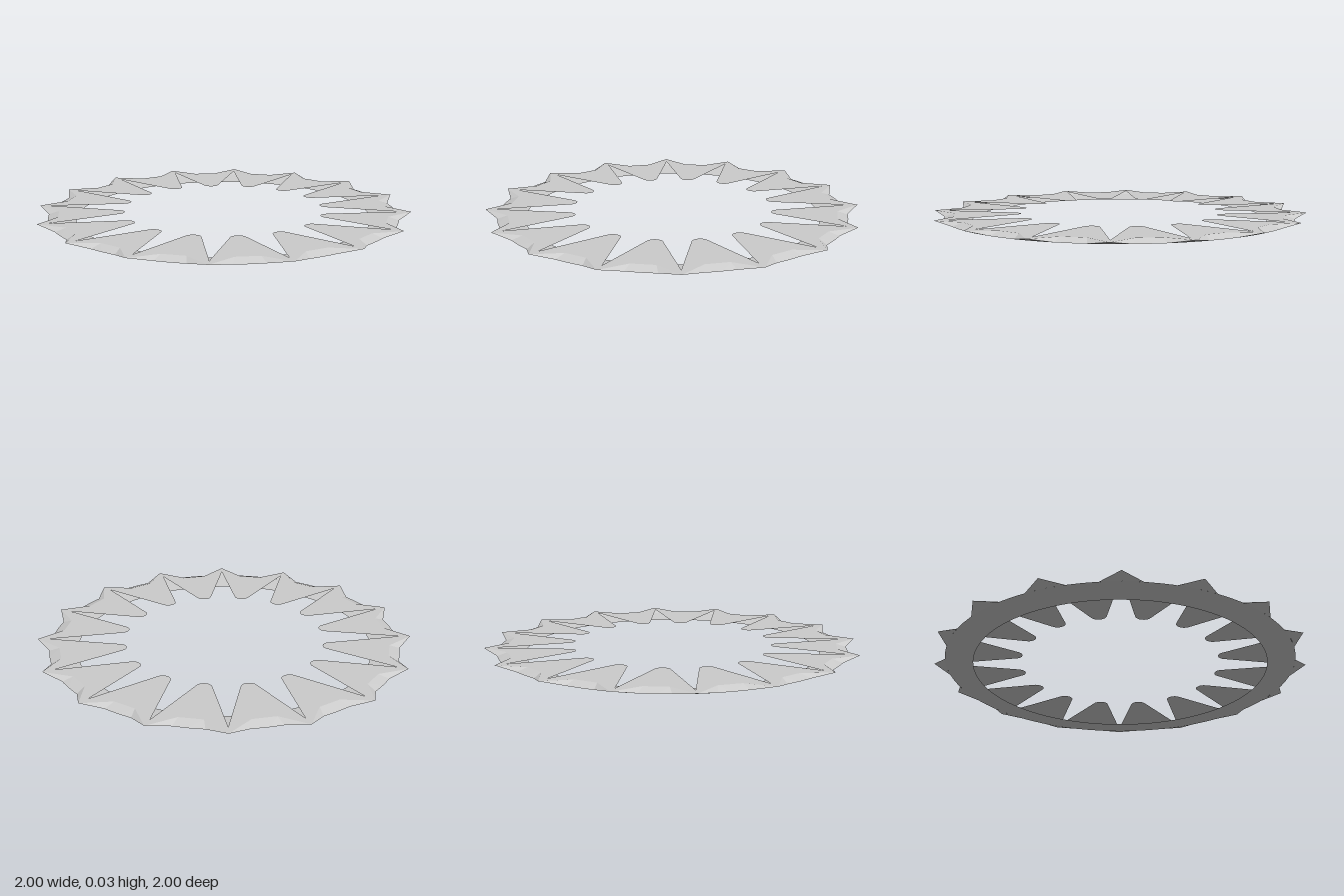
import * as THREE from 'three';

const TEETH = 16, STEP = (Math.PI * 2) / TEETH, DEG = Math.PI / 180;
const START = 15.1 * DEG;                 // angle of the first outer spike
const TOP = 0.034, RIM_Y = 0.014;         // heights of the plate and of the dish rim
const TIP_R = 1.008, NOTCH_R = 0.885, RIM_R = 0.94, INNER_R = 0.79, CUT_R = 0.948;
const NOTCH_A = 7.2 * DEG, FOOT_A = 6.4 * DEG;

const polar = (r, a) => new THREE.Vector2(r * Math.cos(a), r * Math.sin(a));
const at = (r, a, y) => [r * Math.cos(a), y, -r * Math.sin(a)];

// Flat star-shaped plate with spikes outside and rounded teeth inside
function plateGeometry() {
  const outer = [], inner = [];
  for (let i = 0; i < TEETH; i++) {
    const a = START + i * STEP, mid = a + STEP / 2;
    outer.push(polar(TIP_R, a), polar(NOTCH_R, a + NOTCH_A), polar(NOTCH_R, a + STEP - NOTCH_A));
    inner.push(polar(CUT_R, a));
    for (let k = 0; k <= 8; k++) {
      const t = (-75 + k * 18.75) * DEG;
      const p = new THREE.Vector2(0.572 - 0.04 * Math.cos(t), 0.042 * Math.sin(t));
      inner.push(p.rotateAround(new THREE.Vector2(), mid));
    }
  }
  const shape = new THREE.Shape(outer);
  shape.holes.push(new THREE.Path(inner));
  return new THREE.ShapeGeometry(shape).rotateX(-Math.PI / 2).translate(0, TOP, 0);
}

// Facets joining the plate's outer edge to the dish rim
function flankGeometry() {
  const pos = [];
  const tri = (a, b, c) => pos.push(...a, ...b, ...c);
  for (let i = 0; i < TEETH; i++) {
    const a = START + i * STEP;
    const tip = at(TIP_R, a, TOP);
    const rim = (d) => at(RIM_R, a + d, RIM_Y);
    const notch = (d) => at(NOTCH_R, a + d, TOP);
    // underside of the spike
    for (let k = -2; k < 2; k++) tri(rim((k * FOOT_A) / 2), tip, rim(((k + 1) * FOOT_A) / 2));
    // steep spike sides
    tri(rim(FOOT_A), tip, notch(NOTCH_A));
    tri(rim(-FOOT_A), notch(-NOTCH_A), tip);
    // sloped land between two spikes
    const n0 = notch(NOTCH_A), n1 = notch(STEP - NOTCH_A);
    const f0 = rim(FOOT_A), f1 = rim(STEP / 2), f2 = rim(STEP - FOOT_A);
    tri(n0, f1, f0);
    tri(n0, n1, f1);
    tri(n1, f2, f1);
  }
  // corners above run clockwise seen from outside, so swap each pair
  for (let i = 0; i < pos.length; i += 9) {
    const [x, y, z] = pos.slice(i, i + 3);
    for (let k = 0; k < 3; k++) pos[i + k] = pos[i + 3 + k];
    [pos[i + 3], pos[i + 4], pos[i + 5]] = [x, y, z];
  }
  const g = new THREE.BufferGeometry();
  g.setAttribute('position', new THREE.Float32BufferAttribute(pos, 3));
  g.computeVertexNormals();
  return g;
}

export function createModel() {
  const group = new THREE.Group();
  group.name = 'toothedLockWasher';
  const add = (name, geometry, flatShading) => {
    const material = new THREE.MeshStandardMaterial({ color: 0xcccccc, side: THREE.DoubleSide, flatShading });
    const mesh = new THREE.Mesh(geometry, material);
    mesh.name = name;
    group.add(mesh);
  };
  add('toothedPlate', plateGeometry(), false);
  add('spikeFlanks', flankGeometry(), true);
  // shallow dished ring underneath
  const profile = [new THREE.Vector2(INNER_R, 0), new THREE.Vector2(RIM_R, RIM_Y)];
  add('dishedRing', new THREE.LatheGeometry(profile, 96), false);
  return group;
}
